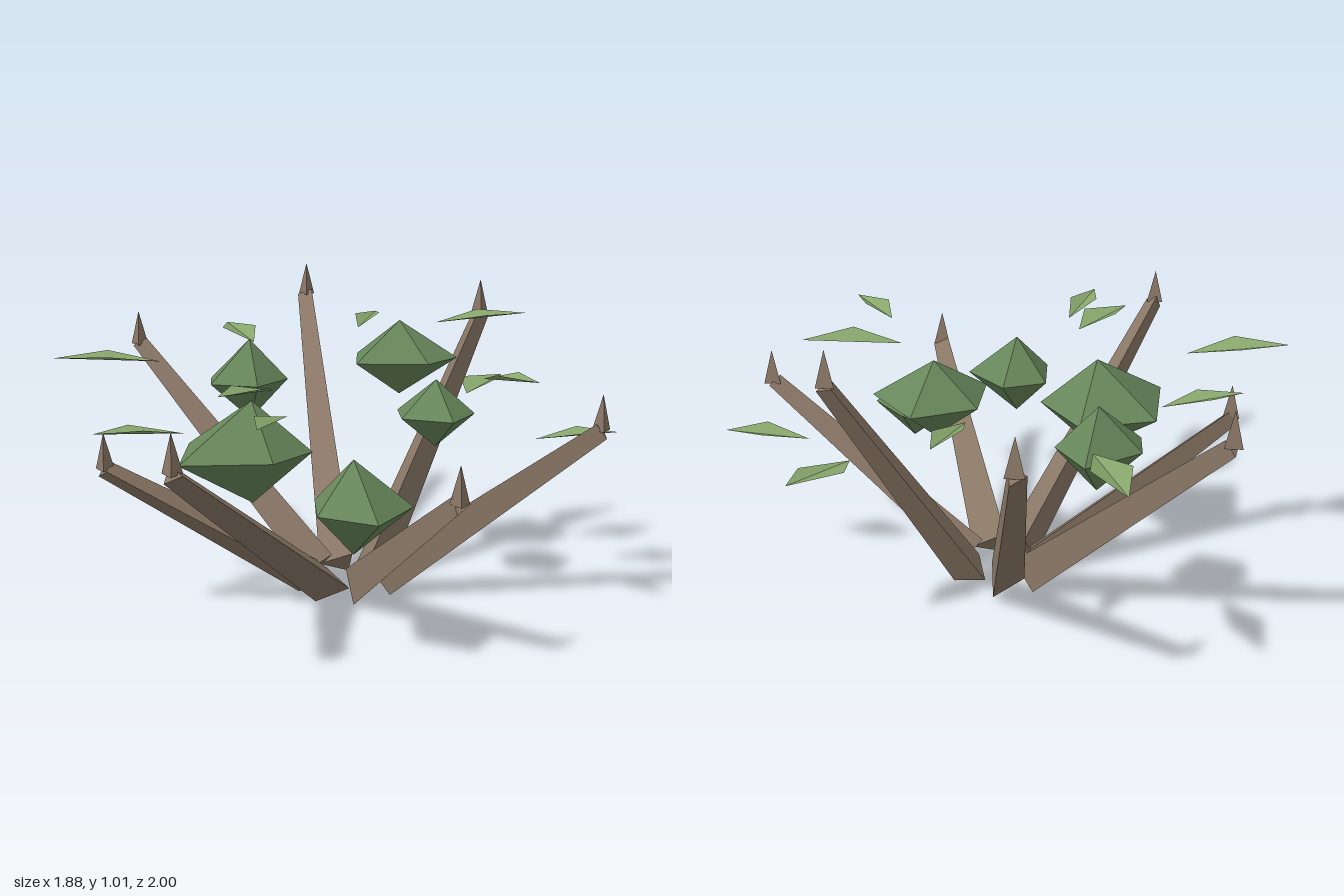
import * as THREE from 'three';

const wood = new THREE.MeshStandardMaterial({ color: 0x8a7766, flatShading: true });
const foliage = new THREE.MeshStandardMaterial({ color: 0x67865a, flatShading: true });
const leafGreen = new THREE.MeshStandardMaterial({ color: 0x88a66c, flatShading: true, side: THREE.DoubleSide });

const V = (x, y, z) => new THREE.Vector3(x, y, z);

// Flat-shaded geometry from a list of triangle corners
function facets(points) {
  const g = new THREE.BufferGeometry().setFromPoints(points);
  g.computeVertexNormals();
  return g;
}

// Three-sided tapering branch from the root ring to its end, with an upright spike
function branch(x, y, z) {
  const group = new THREE.Group();
  group.name = 'branch';
  const r = Math.hypot(x, z);
  const base = V((x / r) * 0.125, 0.052, (z / r) * 0.125);
  const end = V(x, y, z);
  const axis = end.clone().sub(base);
  const length = axis.length();
  axis.normalize();
  const side = V(z / r, 0, -x / r);

  const shaft = new THREE.Mesh(new THREE.CylinderGeometry(0.034, 0.073, length, 3), wood);
  shaft.name = 'branchShaft';
  shaft.quaternion.setFromRotationMatrix(
    new THREE.Matrix4().makeBasis(axis.clone().cross(side), axis, side));
  shaft.position.copy(base).lerp(end, 0.5);

  const spike = new THREE.Mesh(new THREE.ConeGeometry(0.034, 0.12, 3), wood);
  spike.name = 'branchSpike';
  spike.position.set(x, y + 0.06, z);
  group.add(shaft, spike);
  return group;
}

// Five-sided double pyramid with a slightly irregular waist
function clump({ c, h, ring }) {
  const top = V(c[0], c[1] + h, c[2]);
  const bottom = V(c[0], c[1] - h, c[2]);
  const waist = ring.map(([x, z]) => V(x, c[1], z));
  const pts = [];
  waist.forEach((p, i) => {
    const q = waist[(i + 1) % waist.length];
    pts.push(top, q, p, bottom, p, q);
  });
  const mesh = new THREE.Mesh(facets(pts), foliage);
  mesh.name = 'foliageClump';
  return mesh;
}

// Diamond leaf folded along its midrib: inner tip, outer tip, two raised sides
function leaf([y, inner, outer, a, b]) {
  const i = V(inner[0], y - 0.018, inner[1]);
  const o = V(outer[0], y + 0.004, outer[1]);
  const p = V(a[0], y + 0.014, a[1]);
  const q = V(b[0], y + 0.014, b[1]);
  // keep the upper side facing up
  const up = (m, n, k) => (n.clone().sub(m).cross(k.clone().sub(m)).y > 0 ? [m, n, k] : [m, k, n]);
  const mesh = new THREE.Mesh(facets([...up(i, o, p), ...up(i, o, q)]), leafGreen);
  mesh.name = 'leaf';
  return mesh;
}

const branchEnds = [
  [-0.12, 0.88, -0.975], [-0.735, 0.77, -0.51], [0.5, 0.89, -0.44], [0.825, 0.61, 0.22],
  [0.3, 0.54, 0.82], [-0.51, 0.68, 0.97], [-0.78, 0.51, 0.28],
];

const clumps = [
  { c: [-0.31, 0.555, 0.245], h: 0.17, ring: [[-0.52, 0.12], [-0.26, 0.045], [-0.115, 0.25], [-0.24, 0.405], [-0.535, 0.415]] },
  { c: [-0.33, 0.67, -0.35], h: 0.145, ring: [[-0.47, -0.37], [-0.295, -0.495], [-0.195, -0.35], [-0.3, -0.21], [-0.465, -0.255]] },
  { c: [0.195, 0.77, -0.23], h: 0.13, ring: [[0.05, -0.305], [0.25, -0.395], [0.395, -0.215], [0.285, -0.09], [0.04, -0.105]] },
  { c: [0.3, 0.63, 0.035], h: 0.115, ring: [[0.175, -0.02], [0.32, -0.08], [0.43, 0.045], [0.345, 0.185], [0.18, 0.12]] },
  { c: [0, 0.488, 0.655], h: 0.148, ring: [[-0.115, 0.57], [0.04, 0.51], [0.18, 0.655], [0.065, 0.845], [-0.11, 0.75]] },
];

// height, inner tip, outer tip, side, side (x, z)
const leaves = [
  [0.78, [-0.32, -0.575], [-0.43, -0.89], [-0.317, -0.755], [-0.44, -0.71]],
  [0.842, [0.063, -0.52], [0.14, -0.76], [0.148, -0.655], [0.058, -0.643]],
  [0.625, [0.45, -0.37], [0.605, -0.605], [0.587, -0.5], [0.44, -0.52]],
  [0.928, [0.31, -0.12], [0.625, -0.175], [0.46, -0.2], [0.476, -0.07]],
  [0.536, [0.65, -0.04], [0.935, -0.04], [0.8, -0.093], [0.804, 0.018]],
  [0.83, [0.418, 0.352], [0.567, 0.522], [0.519, 0.405], [0.444, 0.452]],
  [0.766, [-0.196, 0.575], [-0.28, 0.83], [-0.196, 0.706], [-0.291, 0.696]],
  [0.803, [-0.24, 0.37], [-0.402, 0.565], [-0.254, 0.49], [-0.365, 0.447]],
  [0.84, [-0.608, 0.087], [-0.947, 0.135], [-0.783, 0.05], [-0.767, 0.177]],
  [0.613, [-0.534, 0.15], [-0.82, 0.246], [-0.714, 0.156], [-0.656, 0.24]],
];

export function createModel() {
  const model = new THREE.Group();
  model.name = 'bush';
  for (const [name, list, make] of [
    ['branches', branchEnds, (e) => branch(...e)],
    ['foliageClumps', clumps, clump],
    ['leaves', leaves, leaf],
  ]) {
    const group = new THREE.Group();
    group.name = name;
    list.forEach((item) => group.add(make(item)));
    model.add(group);
  }
  return model;
}
